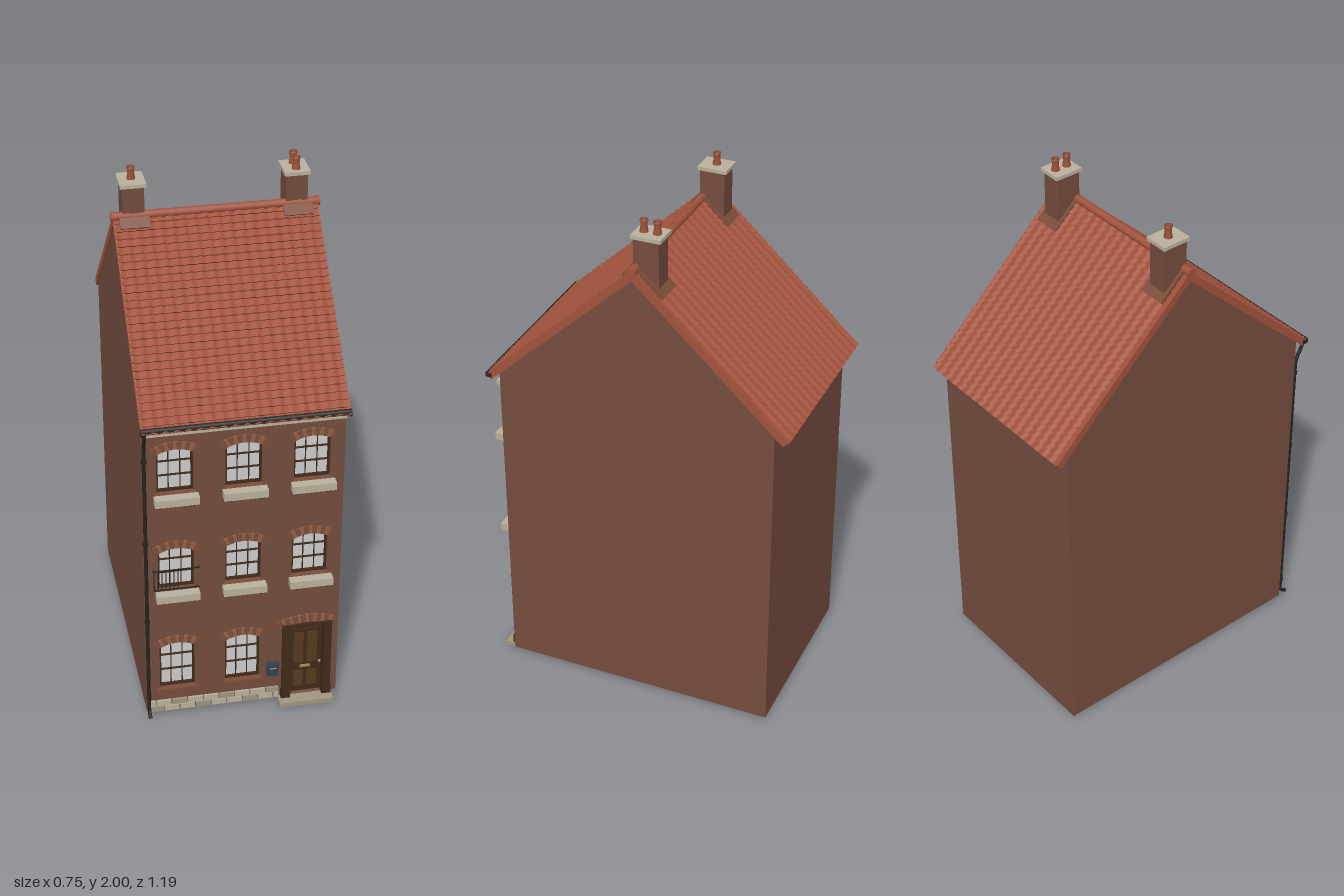
import * as THREE from 'three';

const mat = (color, side = THREE.FrontSide) => new THREE.MeshStandardMaterial({ color, side });
const M = {
  wall: mat(0x744c3e), brickA: mat(0x8f6046), brickB: mat(0x7c4c38), roof: mat(0xa0523c, THREE.DoubleSide),
  stone: mat(0xb9b09c), stoneDark: mat(0xa09680), iron: mat(0x26241f, THREE.DoubleSide), wood: mat(0x3f2a1a),
  woodLight: mat(0x56391f), pane: mat(0xd8d8d8), cream: mat(0xc4b594), floor: mat(0x5a564c), box: mat(0x34414d),
  brass: mat(0xa08a50), pot: mat(0x9c5039, THREE.DoubleSide),
};
const W = 0.365, D = 0.535, T = 0.03, FOOT = 0.02;

function add(parent, name, geo, material, x = 0, y = 0, z = 0) {
  const m = new THREE.Mesh(geo, material);
  m.name = name;
  m.position.set(x, y, z);
  parent.add(m);
  return m;
}
// Box given by its limits
function slab(parent, name, material, x0, x1, y0, y1, z0, z1) {
  return add(parent, name, new THREE.BoxGeometry(x1 - x0, y1 - y0, z1 - z0), material,
    (x0 + x1) / 2, (y0 + y1) / 2, (z0 + z1) / 2);
}
function group(parent, name, x = 0, y = 0, z = 0) {
  const g = new THREE.Group();
  g.name = name;
  g.position.set(x, y, z);
  parent.add(g);
  return g;
}
const extrude = (shape, depth) => new THREE.ExtrudeGeometry(shape, { depth, bevelEnabled: false, curveSegments: 10 });
const tube = (pts, r, n = 16) => new THREE.TubeGeometry(
  new THREE.CatmullRomCurve3(pts.map(p => new THREE.Vector3(...p)), false, 'catmullrom', 0.2), n, r, 8);

// Opening with a shallow arched head: a = half width, h = rise of the arch
const arcRadius = (a, h) => (a * a + h * h) / (2 * h);
function archedOutline(Type, cx, y0, crown, a, h) {
  const R = arcRadius(a, h), t = Math.asin(a / R), s = new Type();
  s.moveTo(cx - a, y0);
  s.lineTo(cx + a, y0);
  s.lineTo(cx + a, crown - h);
  s.absarc(cx, crown - R, R, Math.PI / 2 - t, Math.PI / 2 + t, false);
  s.lineTo(cx - a, y0);
  return s;
}
// Row of radial bricks over an opening
function brickArch(parent, cx, crown, a, h, n, len) {
  const R = arcRadius(a, h), t = Math.asin(a / R) * 1.1, g = group(parent, 'brickArch');
  for (let i = 0; i < n; i++) {
    const u = t * (2 * (i + 0.5) / n - 1), r = R + len / 2;
    const b = add(g, 'archBrick', new THREE.BoxGeometry(2 * t * r / n * 0.86, len, 0.014),
      i % 2 ? M.brickA : M.brickB, cx + Math.sin(u) * r, crown - R + Math.cos(u) * r, D + 0.001);
    b.rotation.z = -u;
  }
}

const COLS = [-0.247, 0, 0.247], A = 0.066, RISE = 0.018;
const ROWS = [[0.127, 0.338], [0.585, 0.765], [1.003, 1.185]];
const DOOR = { x: 0.245, a: 0.092, crown: 0.36, h: 0.014 };

function buildWindow(parent, cx, y0, y1, floor) {
  const g = group(parent, 'window');
  add(g, 'pane', new THREE.ShapeGeometry(archedOutline(THREE.Shape, cx, y0, y1, A, RISE)), M.pane, 0, 0, 0.512);
  const frame = archedOutline(THREE.Shape, cx, y0, y1, A, RISE);
  frame.holes.push(archedOutline(THREE.Path, cx, y0 + 0.007, y1 - 0.007, A - 0.007, RISE - 0.002));
  add(g, 'frame', extrude(frame, 0.014), M.wood, 0, 0, 0.51);
  for (const k of [-1, 1])
    slab(g, 'glazingBar', M.wood, cx + k * 0.021 - 0.0015, cx + k * 0.021 + 0.0015, y0, y1 - 0.004, 0.511, 0.519);
  for (const f of [0.35, 0.67]) {
    const y = y0 + (y1 - y0) * f, e = 0.0018;
    slab(g, 'glazingBar', M.wood, cx - A, cx + A, y - e, y + e, 0.511, 0.52);
  }
  brickArch(g, cx, y1, A, RISE, 11, 0.03);
  slab(g, 'brickSill', M.brickB, cx - 0.075, cx + 0.075, y0 - 0.012, y0, 0.51, D + 0.012);
  if (!floor) return;
  // Stone trough carried on two iron brackets
  slab(g, 'trough', M.stone, cx - 0.08, cx + 0.08, y0 - 0.028, y0 + 0.002, 0.552, 0.588);
  for (const k of [-1, 1]) {
    const x = cx + k * 0.057, y = y0 - 0.03;
    add(g, 'bracketArm', tube([[x, y, D], [x, y, 0.588]], 0.0025, 2), M.iron);
    add(g, 'bracketBrace', tube([[x, y - 0.032, D], [x, y - 0.018, 0.552], [x, y, 0.582]], 0.0025, 6), M.iron);
    add(g, 'bracketPlate', tube([[x, y - 0.036, D + 0.002], [x, y + 0.01, D + 0.002]], 0.0025, 2), M.iron);
  }
}

// Overlapping wavy tile courses; local z runs down the slope
function tileGeometry(width, length, courses, waves) {
  const pos = [], idx = [], seg = waves * 6;
  for (let r = 0; r < courses; r++) {
    const base = pos.length / 3;
    const lines = [[r, 0.001], [r + 1, 0.009], [r + 1, 0.009], [r + 1, -0.002]];
    for (const [s, lift] of lines)
      for (let i = 0; i <= seg; i++) {
        const u = i / seg;
        pos.push((u - 0.5) * width, lift + 0.003 * Math.cos(u * waves * 2 * Math.PI), s / courses * length);
      }
    for (const l of [0, 2])
      for (let i = 0; i < seg; i++) {
        const a = base + l * (seg + 1) + i, b = a + seg + 1;
        idx.push(a, b, a + 1, b, b + 1, a + 1);
      }
  }
  const g = new THREE.BufferGeometry();
  g.setAttribute('position', new THREE.Float32BufferAttribute(pos, 3));
  g.setIndex(idx);
  g.computeVertexNormals();
  return g;
}

export function createModel() {
  const root = new THREE.Group();
  root.name = 'townHouse';

  // Walls, open below
  const facade = new THREE.Shape([[-W, FOOT], [W, FOOT], [W, 1.29], [-W, 1.29]].map(p => new THREE.Vector2(...p)));
  for (const x of COLS) ROWS.forEach(([y0, y1], i) => {
    if (i || x < 0.2) facade.holes.push(archedOutline(THREE.Path, x, y0, y1, A, RISE));
  });
  facade.holes.push(archedOutline(THREE.Path, DOOR.x, FOOT + 0.001, DOOR.crown, DOOR.a, DOOR.h));
  add(root, 'frontWall', extrude(facade, T), M.wall, 0, 0, D - T);
  slab(root, 'backWall', M.wall, -W, W, FOOT, 1.29, -D, -D + T);
  const gable = new THREE.Shape([[-D, FOOT], [D, FOOT], [D, 1.297], [0, 1.8], [-D, 1.297]].map(p => new THREE.Vector2(...p)));
  for (const s of [-1, 1]) {
    const m = add(root, 'gableWall', extrude(gable, T - 0.001), M.wall, s > 0 ? W - T + 0.001 : -W, 0, 0);
    m.rotation.y = Math.PI / 2;
    m.scale.set(0.9995, 1, 1);
  }
  slab(root, 'frontRoomFloor', M.floor, -W + T, W - T, FOOT + 0.002, 0.035, 0.235, D - T);
  slab(root, 'partition', M.cream, -W + T, W - T, FOOT + 0.002, 1.5, 0.23, 0.24);

  // Windows
  for (const x of COLS) ROWS.forEach(([y0, y1], i) => { if (i || x < 0.2) buildWindow(root, x, y0, y1, i); });

  // Railing at the middle left window
  const rail = group(root, 'railing');
  for (const y of [0.59, 0.675]) slab(rail, 'rail', M.iron, -0.332, -0.165, y - 0.002, y + 0.002, 0.546, 0.55);
  for (let i = 0; i < 7; i++)
    add(rail, 'railBar', new THREE.CylinderGeometry(0.002, 0.002, 0.09, 6), M.iron, -0.33 + i * 0.0145, 0.632, 0.548);
  for (const x of [-0.332, -0.165]) slab(rail, 'railFixing', M.iron, x - 0.002, x + 0.002, 0.673, 0.677, D, 0.55);

  // Door, surround and step
  const door = group(root, 'door', DOOR.x, 0, 0);
  slab(door, 'doorLeaf', M.wood, -0.07, 0.07, FOOT, 0.32, 0.508, 0.52);
  for (const s of [-1, 1]) {
    slab(door, 'doorPost', M.wood, s * 0.079 - 0.015, s * 0.079 + 0.015, FOOT, 0.352, 0.508, 0.55);
    slab(door, 'doorPostBase', M.wood, s * 0.079 - 0.018, s * 0.079 + 0.018, FOOT, 0.06, 0.508, 0.554);
    for (const [y0, y1] of [[0.05, 0.12], [0.16, 0.3]])
      slab(door, 'doorPanel', M.woodLight, s * 0.026 - 0.019, s * 0.026 + 0.019, y0, y1, 0.518, 0.524);
  }
  slab(door, 'doorHead', M.wood, -0.094, 0.094, 0.347, 0.36, 0.508, 0.552);
  slab(door, 'transomRail', M.wood, -0.066, 0.066, 0.313, 0.322, 0.508, 0.53);
  slab(door, 'transomPane', M.pane, -0.066, 0.066, 0.322, 0.348, 0.508, 0.514);
  for (const x of [-0.022, 0.022]) slab(door, 'transomBar', M.wood, x - 0.002, x + 0.002, 0.322, 0.348, 0.51, 0.518);
  slab(door, 'letterSlot', M.brass, -0.02, 0.02, 0.136, 0.146, 0.518, 0.525);
  add(door, 'doorKnob', new THREE.SphereGeometry(0.006, 12, 8), M.brass, 0.055, 0.16, 0.528);
  slab(door, 'doorStep', M.stoneDark, -0.107, 0.1, 0, 0.02, 0.5, 0.585);
  brickArch(root, DOOR.x, DOOR.crown + 0.003, DOOR.a, DOOR.h + 0.004, 15, 0.034);

  // Letter box
  slab(root, 'letterBox', M.box, 0.094, 0.136, 0.135, 0.185, D, 0.555);
  slab(root, 'letterBoxLid', M.box, 0.091, 0.139, 0.183, 0.19, D, 0.559);
  slab(root, 'letterBoxSlot', M.stone, 0.102, 0.128, 0.168, 0.172, 0.55, 0.556);

  // Two staggered courses of base stones
  const plinth = group(root, 'plinth');
  for (let r = 0; r < 2; r++)
    for (let i = 0; i < 9; i++) {
      const x0 = Math.max(-0.36, -0.36 + (i - r / 2) * 0.06), x1 = Math.min(0.142, -0.36 + (i + 1 - r / 2) * 0.06);
      if (x1 - x0 > 0.008)
        slab(plinth, 'plinthStone', (i + r) % 3 ? M.stone : M.stoneDark, x0 + 0.002, x1 - 0.002,
          0.021 + r * 0.026, 0.044 + r * 0.026, 0.52, 0.543);
    }

  // Cornice, gutter and downpipe
  slab(root, 'cornice', M.stone, -0.35, W, 1.247, 1.265, D, 0.55);
  const gutter = add(root, 'gutter', new THREE.CylinderGeometry(0.012, 0.012, 0.744, 12, 1, true, Math.PI / 2, Math.PI),
    M.iron, 0, 1.29, 0.577);
  gutter.rotation.set(0, 0, Math.PI / 2);
  gutter.geometry.rotateY(Math.PI);
  for (const [y, x] of [[1.284, -0.37], [1.284, 0.37]]) slab(root, 'gutterEnd', M.iron, x - 0.002, x + 0.002, y - 0.008, y + 0.008, 0.566, 0.589);
  add(root, 'downpipe', tube([[-0.358, 1.28, 0.577], [-0.358, 1.255, 0.572], [-0.358, 1.215, 0.55], [-0.358, 1.17, 0.545],
    [-0.358, 0.6, 0.545], [-0.358, 0.06, 0.545], [-0.358, 0.035, 0.553], [-0.358, 0.02, 0.576]], 0.007, 60), M.iron);
  for (const y of [0.1, 0.45, 0.8, 1.15])
    add(root, 'pipeCollar', new THREE.CylinderGeometry(0.01, 0.01, 0.012, 12), M.iron, -0.358, y, 0.545);

  // Roof: two equal slopes
  const run = 0.585, drop = 0.545, len = Math.hypot(run, drop);
  const roof = group(root, 'roof', 0, 1.826, 0);
  for (const back of [0, 1]) {
    const turn = group(roof, back ? 'backSlope' : 'frontSlope');
    turn.rotation.y = back * Math.PI;
    const slope = group(turn, 'slope');
    slope.rotation.x = Math.atan2(drop, run);
    slab(slope, 'roofBoard', M.roof, -0.366, 0.366, -0.02, -0.002, 0, len - 0.006);
    add(slope, 'tiles', tileGeometry(0.738, len, 28, 18), M.roof);
    for (const s of [-1, 1]) {
      slab(slope, 'vergeBoard', M.roof, s * 0.367 - 0.003, s * 0.367 + 0.003, -0.022, 0.006, 0, len - 0.004);
      slab(slope, 'chimneyFlashing', M.brickB, s * 0.295 - 0.053, s * 0.295 + 0.053, 0, 0.014, 0, back ? 0.14 : 0.05);
    }
  }
  for (let i = 0; i < 12; i++) {
    const r = add(roof, 'ridgeTile', new THREE.CylinderGeometry(0.014, 0.0165, 0.066, 14), M.roof, -0.341 + i * 0.062, 0.005, 0);
    r.rotation.z = Math.PI / 2;
  }
  for (const s of [-1, 1])
    add(roof, 'ridgeEnd', new THREE.CylinderGeometry(0.018, 0.018, 0.014, 14), M.roof, s * 0.37, 0.005, 0).rotation.z = Math.PI / 2;

  // Chimneys with one pot and two pots
  for (const [x, pots] of [[-0.296, [-0.04]], [0.293, [-0.065, -0.015]]]) {
    const c = group(root, 'chimney', x, 0, 0);
    slab(c, 'stack', M.wall, -0.039, 0.039, 1.72, 1.942, -0.086, 0.01);
    slab(c, 'capStone', M.stone, -0.047, 0.047, 1.94, 1.954, -0.096, 0.017);
    for (const z of pots) {
      const profile = [[0.016, 0], [0.0125, 0.02], [0.0125, 0.038], [0.015, 0.04], [0.015, 0.046], [0.01, 0.046], [0.01, 0.02], [0, 0.02]];
      add(c, 'chimneyPot', new THREE.LatheGeometry(profile.map(p => new THREE.Vector2(...p)), 16), M.pot, 0, 1.954, z);
    }
  }
  return root;
}
